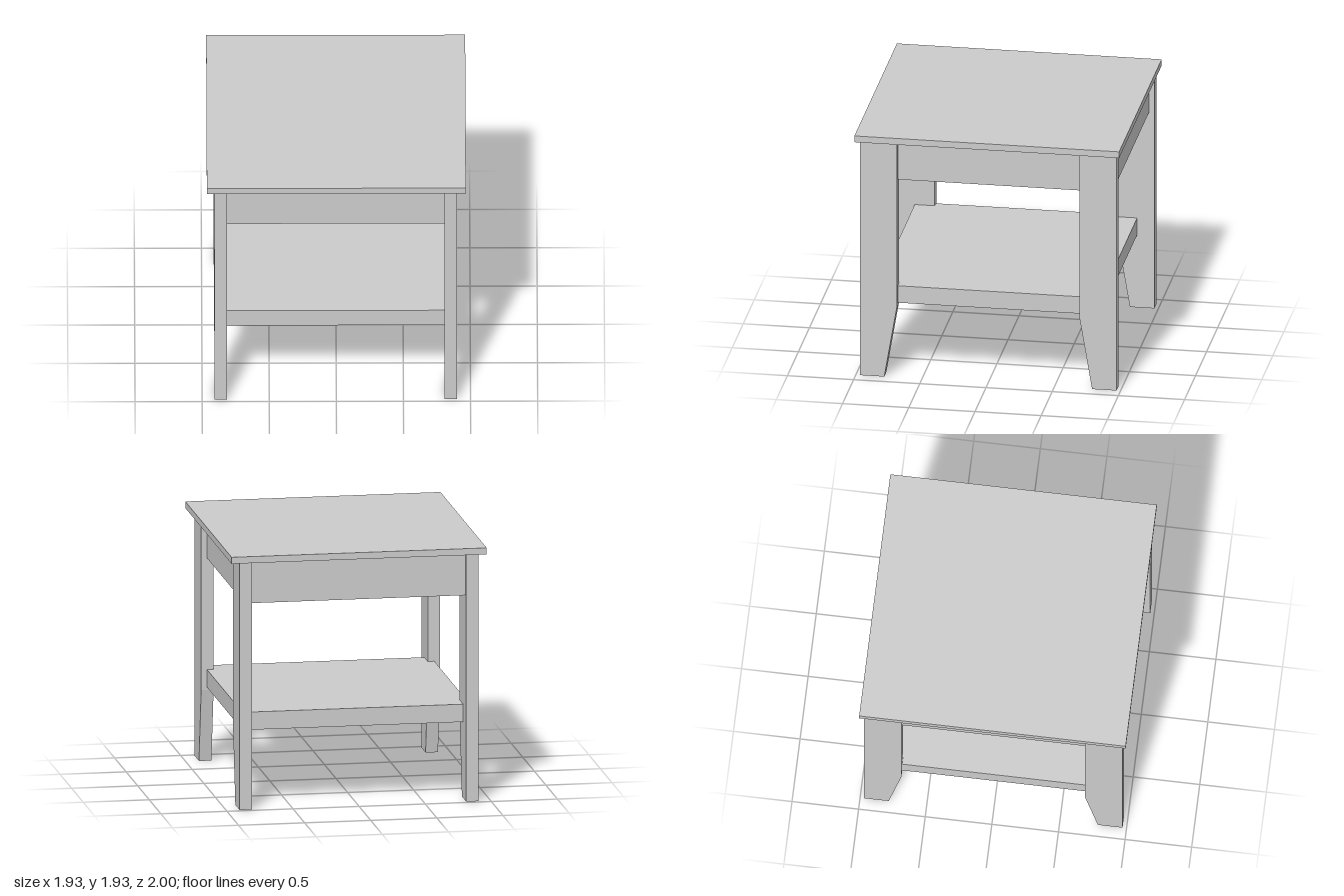
import * as THREE from 'three';

const material = new THREE.MeshStandardMaterial({ color: 0xcccccc, flatShading: true });

// Box spanning the given height range, centred on x and z
function slab(name, width, depth, bottom, top, x = 0) {
  const mesh = new THREE.Mesh(new THREE.BoxGeometry(width, top - bottom, depth), material);
  mesh.name = name;
  mesh.position.set(x, (bottom + top) / 2, 0);
  return mesh;
}

// Leg profile in the (z, y) plane, tapering on the inner edge below the shelf
function legGeometry(side) {
  const points = [[0.97, 0], [0.97, 1.885], [0.69, 1.885], [0.69, 0.56], [0.785, 0]];
  const shape = new THREE.Shape(points.map(([z, y]) => new THREE.Vector2(-z * side, y)));
  const thickness = 0.094;
  const geometry = new THREE.ExtrudeGeometry(shape, { depth: thickness, bevelEnabled: false });
  geometry.translate(0, 0, -thickness / 2);
  geometry.rotateY(Math.PI / 2); // shape x becomes -z, extrusion becomes x
  return geometry;
}

export function createModel() {
  const table = new THREE.Group();
  table.name = 'sideTable';
  const offset = -0.005; // the frame sits slightly off the top's centre

  table.add(slab('tableTop', 1.93, 2, 1.885, 1.935));
  table.add(slab('apron', 1.72, 1.86, 1.565, 1.885, offset));
  table.add(slab('shelf', 1.72, 1.68, 0.58, 0.715, offset));

  // Four legs
  for (const [end, side] of [['front', 1], ['back', -1]]) {
    const geometry = legGeometry(side);
    for (const [hand, x] of [['Left', 1], ['Right', -1]]) {
      const leg = new THREE.Mesh(geometry, material);
      leg.name = `${end}${hand}Leg`;
      leg.position.x = x * 0.857 + offset;
      table.add(leg);
    }
  }
  return table;
}
